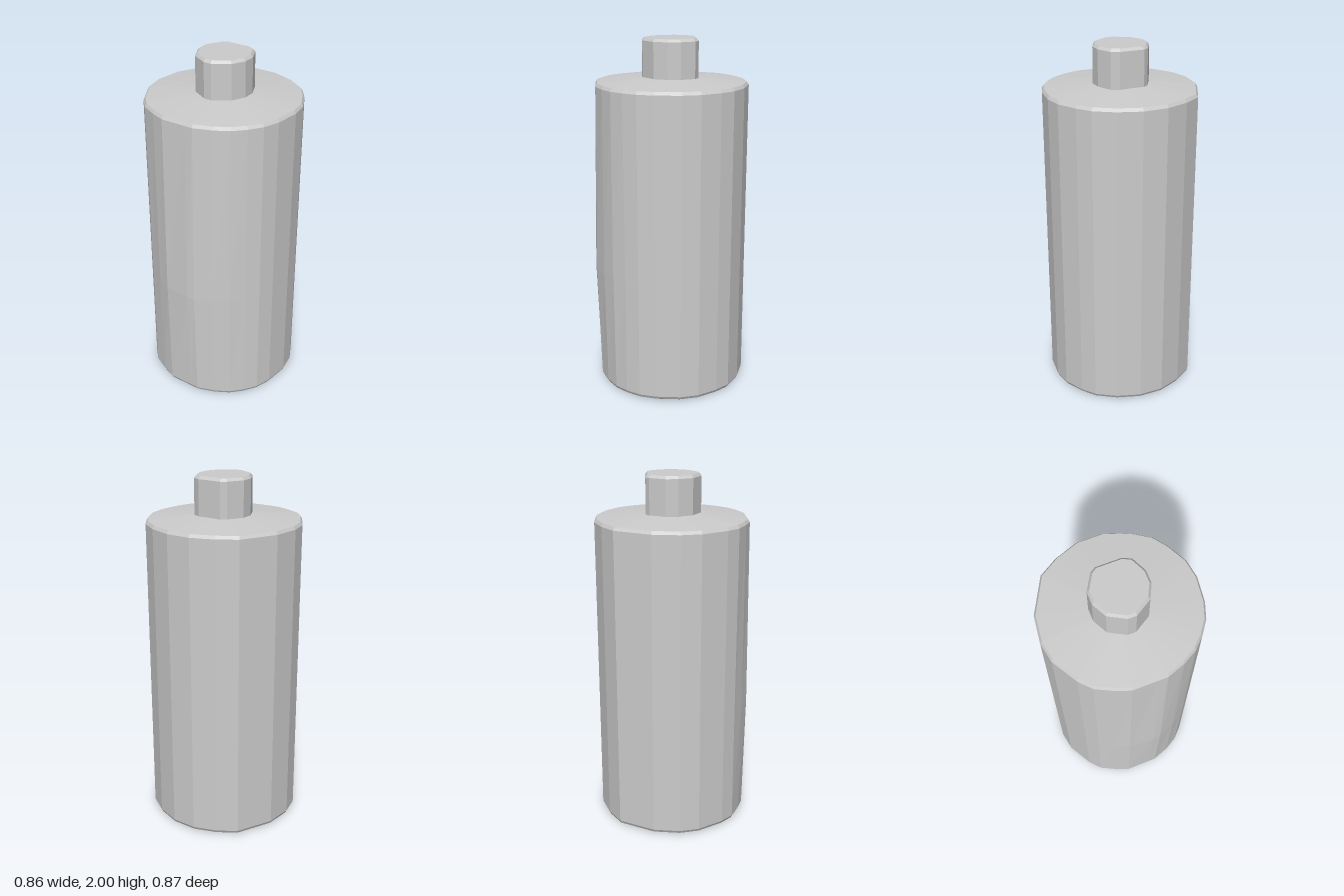
import * as THREE from 'three';

// Cross-sections as [x, z], running clockwise seen from above
const bodyOutline = [
  [-0.07, -0.435], [0.07, -0.435], [0.2, -0.39], [0.305, -0.32], [0.36, -0.245],
  [0.415, -0.135], [0.43, -0.03], [0.412, 0.11], [0.38, 0.2], [0.33, 0.27],
  [0.27, 0.33], [0.19, 0.375], [0.09, 0.41], [0.045, 0.41], [-0.1, 0.41],
  [-0.18, 0.38], [-0.27, 0.335], [-0.33, 0.27], [-0.41, 0.13], [-0.43, 0.02],
  [-0.41, -0.13], [-0.305, -0.325], [-0.2, -0.39],
];
const neckOutline = [
  [-0.07, -0.155], [0.07, -0.155], [0.115, -0.132], [0.152, -0.05],
  [0.152, 0.02], [0.115, 0.095], [0.025, 0.15], [-0.02, 0.15],
  [-0.11, 0.1], [-0.15, 0.02], [-0.15, -0.05], [-0.1, -0.135],
];

// Stacks scaled copies of an outline and closes both ends; rings are [y, scale, bulge]
function loft(outline, rings) {
  const n = outline.length;
  const positions = [];
  const indices = [];
  for (const [y, scale, bulge = 0] of rings) {
    for (const [x, z] of outline) {
      const swell = z > 0.3 ? bulge * Math.max(0, 1 - Math.abs(x - 0.045) / 0.3) : 0;
      positions.push(x * scale, y, z * scale + swell);
    }
  }
  const last = rings.length - 1;
  const bottom = rings.length * n;
  positions.push(0, rings[0][0], 0, 0, rings[last][0], 0);
  for (let i = 0; i < n; i++) {
    const j = (i + 1) % n;
    for (let r = 0; r < last; r++) {
      const low = r * n;
      const high = low + n;
      indices.push(low + j, low + i, high + i, low + j, high + i, high + j);
    }
    indices.push(bottom, i, j, bottom + 1, last * n + j, last * n + i);
  }
  const geometry = new THREE.BufferGeometry();
  geometry.setAttribute('position', new THREE.Float32BufferAttribute(positions, 3));
  geometry.setIndex(indices);
  geometry.computeVertexNormals();
  return geometry;
}

export function createModel() {
  const group = new THREE.Group();
  group.name = 'bottle';
  const material = new THREE.MeshStandardMaterial({ color: 0xcccccc, flatShading: true });

  // Body with beveled rims, a faint swelling at the front and a shallow sloping shoulder
  const body = new THREE.Mesh(loft(bodyOutline, [
    [0, 0.95], [0.008, 0.98], [0.025, 1], [0.7, 1, 0.022],
    [1.745, 1], [1.762, 0.975], [1.787, 0.34],
  ]), material);
  body.name = 'body';

  // Neck with a beveled top edge
  const neck = new THREE.Mesh(loft(neckOutline, [
    [1.77, 1], [1.985, 1], [2, 0.92],
  ]), material);
  neck.name = 'neck';

  group.add(body, neck);
  return group;
}
